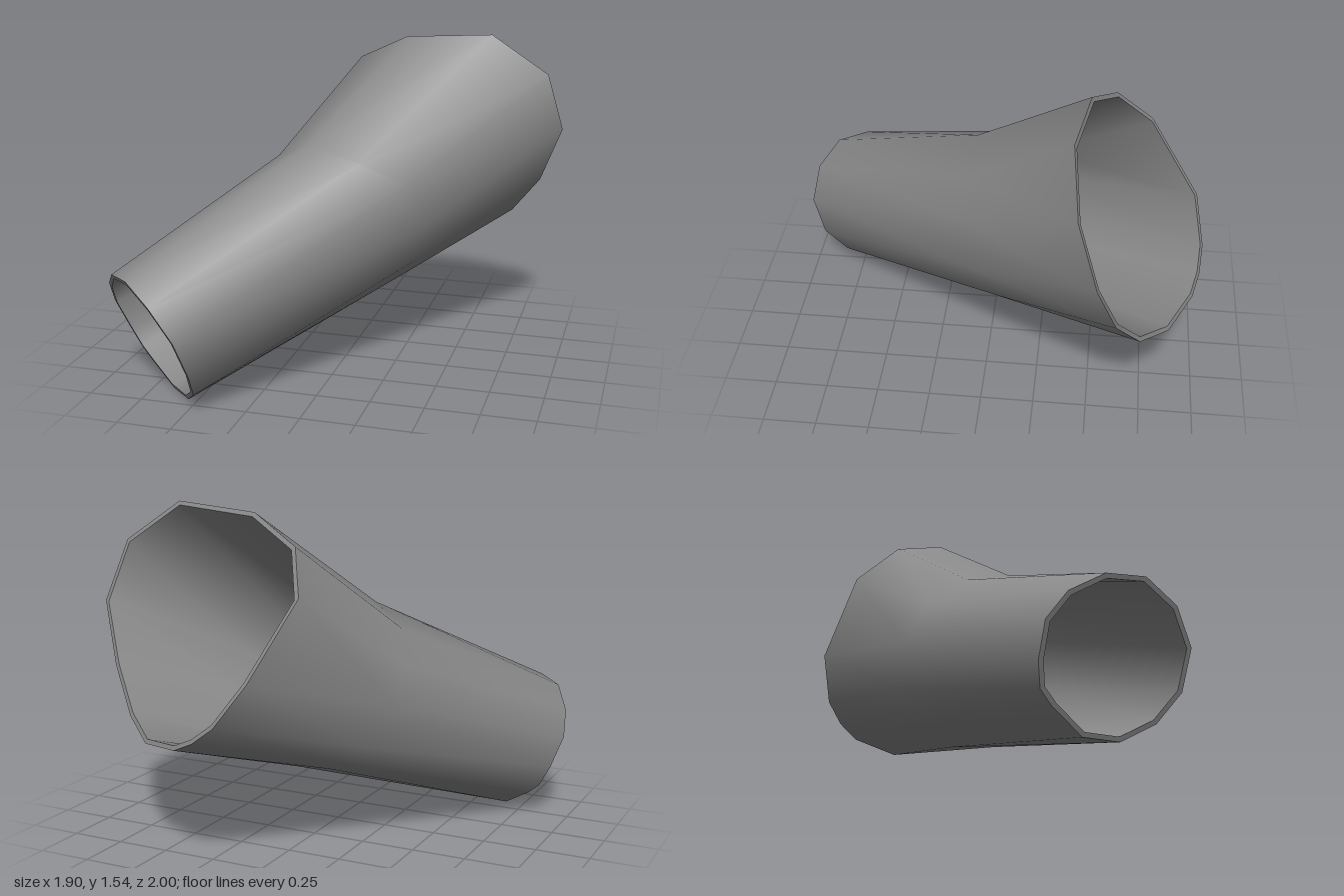
import * as THREE from 'three';

// Three 13-sided cross-sections of the sleeve, in the same order around the axis
const cuff = [
  [-0.59, 0.53, 0.98], [-0.73, 0.61, 0.897], [-0.855, 0.59, 0.772], [-0.935, 0.5, 0.64],
  [-0.955, 0.385, 0.552], [-0.907, 0.24, 0.503], [-0.857, 0.143, 0.49], [-0.796, 0.09, 0.515],
  [-0.66, 0, 0.59], [-0.54, 0.005, 0.705], [-0.46, 0.09, 0.833], [-0.435, 0.22, 0.94], [-0.475, 0.39, 1],
];
const middle = [
  [0.1, 1, 0.13], [-0.16, 1.065, 0.08], [-0.35, 0.975, -0.05], [-0.43, 0.84, -0.21],
  [-0.44, 0.67, -0.31], [-0.32, 0.5, -0.4], [-0.23, 0.41, -0.4], [-0.14, 0.37, -0.38],
  [0.06, 0.333, -0.3], [0.2, 0.36, -0.15], [0.316, 0.495, -0.04], [0.4, 0.71, 0.05], [0.31, 0.92, 0.12],
];
const shoulder = [
  [0.61, 1.545, -0.395], [0.185, 1.515, -0.45], [-0.075, 1.39, -0.56], [-0.18, 1.2, -0.73],
  [-0.06, 0.87, -0.96], [0.08, 0.68, -1], [0.19, 0.6, -0.99], [0.3, 0.55, -0.96],
  [0.52, 0.525, -0.85], [0.69, 0.6, -0.72], [0.84, 0.8, -0.61], [0.95, 1.08, -0.52], [0.88, 1.36, -0.43],
];
const WALL = 0.022;

// Moves a ring towards its own centre by the wall thickness
function inset(ring) {
  const centre = new THREE.Vector3();
  ring.forEach((p) => centre.add(p));
  centre.divideScalar(ring.length);
  return ring.map((p) => p.clone().add(centre.clone().sub(p).setLength(WALL)));
}

// Joins successive closed rings with quads
function loft(rings) {
  const n = rings[0].length;
  const geometry = new THREE.BufferGeometry().setFromPoints(rings.flat());
  const index = [];
  for (let r = 0; r < rings.length - 1; r++) {
    for (let j = 0; j < n; j++) {
      const k = (j + 1) % n;
      const a = r * n, b = a + n;
      index.push(b + j, b + k, a + k, b + j, a + k, a + j);
    }
  }
  geometry.setIndex(index);
  geometry.computeVertexNormals();
  return geometry;
}

export function createModel() {
  const group = new THREE.Group();
  group.name = 'sleeve';
  const material = new THREE.MeshStandardMaterial({ color: 0x888888 });
  const outer = [cuff, middle, shoulder].map((ring) => ring.map((p) => new THREE.Vector3(...p)));
  const inner = outer.map(inset);

  // Outer and inner walls, closed by a narrow rim at each opening
  const parts = {
    outerWall: outer,
    innerWall: [...inner].reverse(),
    cuffRim: [inner[0], outer[0]],
    shoulderRim: [outer[2], inner[2]],
  };
  for (const [name, rings] of Object.entries(parts)) {
    const mesh = new THREE.Mesh(loft(rings), material);
    mesh.name = name;
    group.add(mesh);
  }
  return group;
}
